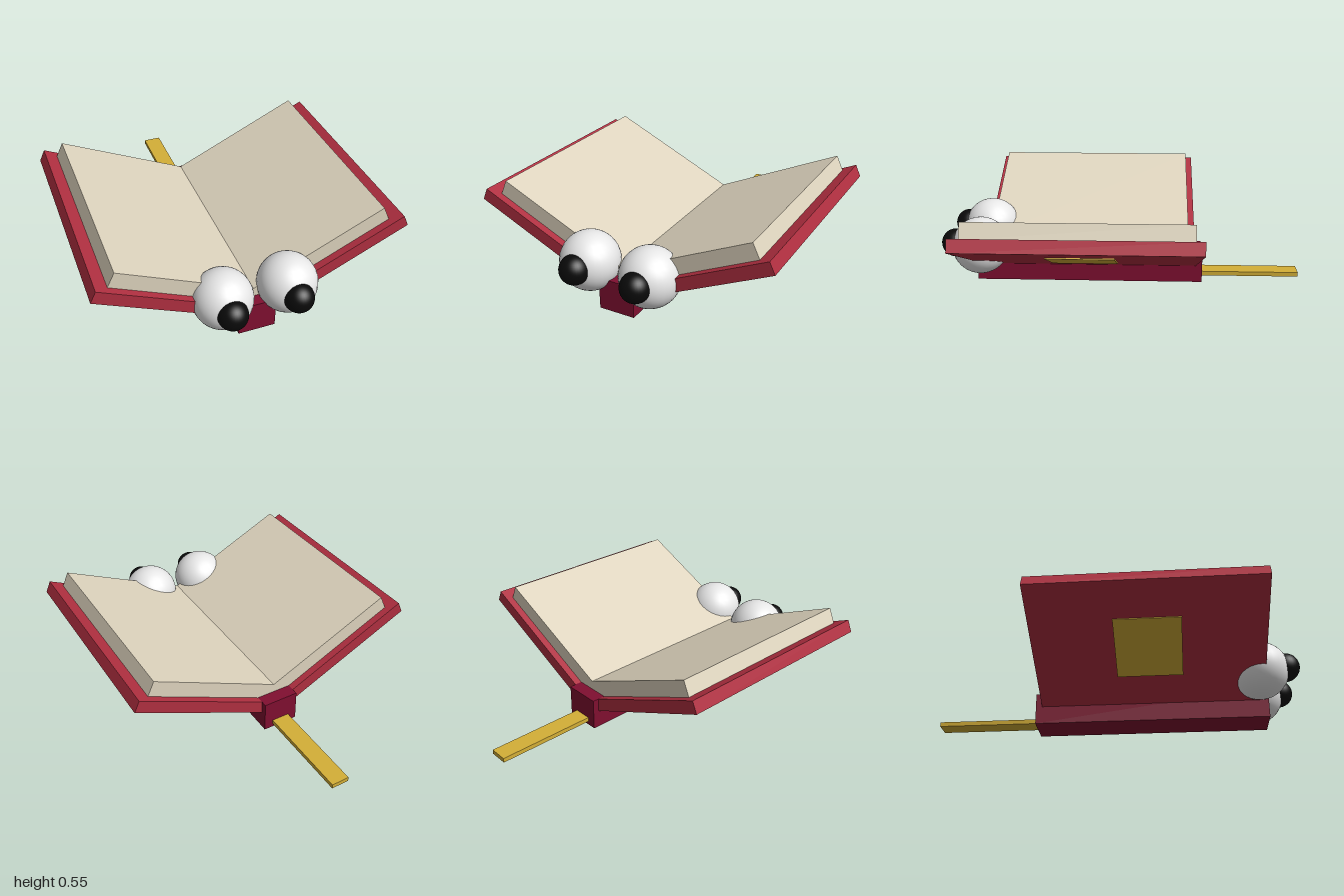
import * as THREE from 'three';

const mat = (name, color) => {
  const m = new THREE.MeshStandardMaterial({ color });
  m.name = name;
  return m;
};

export function createModel() {
  const model = new THREE.Group();
  model.name = 'openBookCreature';

  const coverRed = mat('coverRed', 0xb02f40);
  const spineBurgundy = mat('spineBurgundy', 0x800f30);
  const paper = mat('paper', 0xded4be);
  const gold = mat('gold', 0xd4af37);
  const eyeWhite = mat('eyeWhite', 0xf2f2f2);
  const pupilBlack = mat('pupilBlack', 0x0a0a0a);

  const add = (name, geometry, material, x = 0, y = 0, z = 0) => {
    const mesh = new THREE.Mesh(geometry, material);
    mesh.name = name;
    mesh.position.set(x, y, z);
    model.add(mesh);
  };

  // Cross-section in x and y, extruded from z0 to z1 and mirrored by side
  const slab = (side, points, z0, z1) => {
    const shape = new THREE.Shape(points.map(([x, y]) => new THREE.Vector2(side * x, y)));
    return new THREE.ExtrudeGeometry(shape, { depth: z1 - z0, bevelEnabled: false }).translate(0, 0, z0);
  };

  // Spine and bookmark ribbon trailing behind it
  add('spine', new THREE.BoxGeometry(0.2, 0.175, 1.28), spineBurgundy, 0, 0.0875, 0.19);
  add('bookmark', new THREE.BoxGeometry(0.1, 0.025, 0.56), gold, 0, 0.0325, -0.72);

  for (const side of [1, -1]) {
    const prefix = side > 0 ? 'left' : 'right';

    // Sloping cover board, page block resting on it, and plate underneath
    add(prefix + 'Cover', slab(side, [[0, 0.052], [0.829, 0.438], [0.8, 0.501], [0, 0.128]], -0.415, 0.805), coverRed);
    add(prefix + 'Pages', slab(side, [[0, 0.128], [0.737, 0.472], [0.7, 0.551], [0, 0.225]], -0.375, 0.765), paper);
    add(prefix + 'CoverPlate', slab(side, [[0.285, 0.177], [0.625, 0.335], [0.621, 0.343], [0.281, 0.185]], 0.02, 0.37), gold);

    // Eyes at the front edge
    add(prefix + 'Eye', new THREE.SphereGeometry(0.157, 32, 24), eyeWhite, side * 0.175, 0.237, 0.785);
    add(prefix + 'Pupil', new THREE.SphereGeometry(0.078, 32, 24), pupilBlack, side * 0.175, 0.25, 0.922);
  }

  return model;
}
